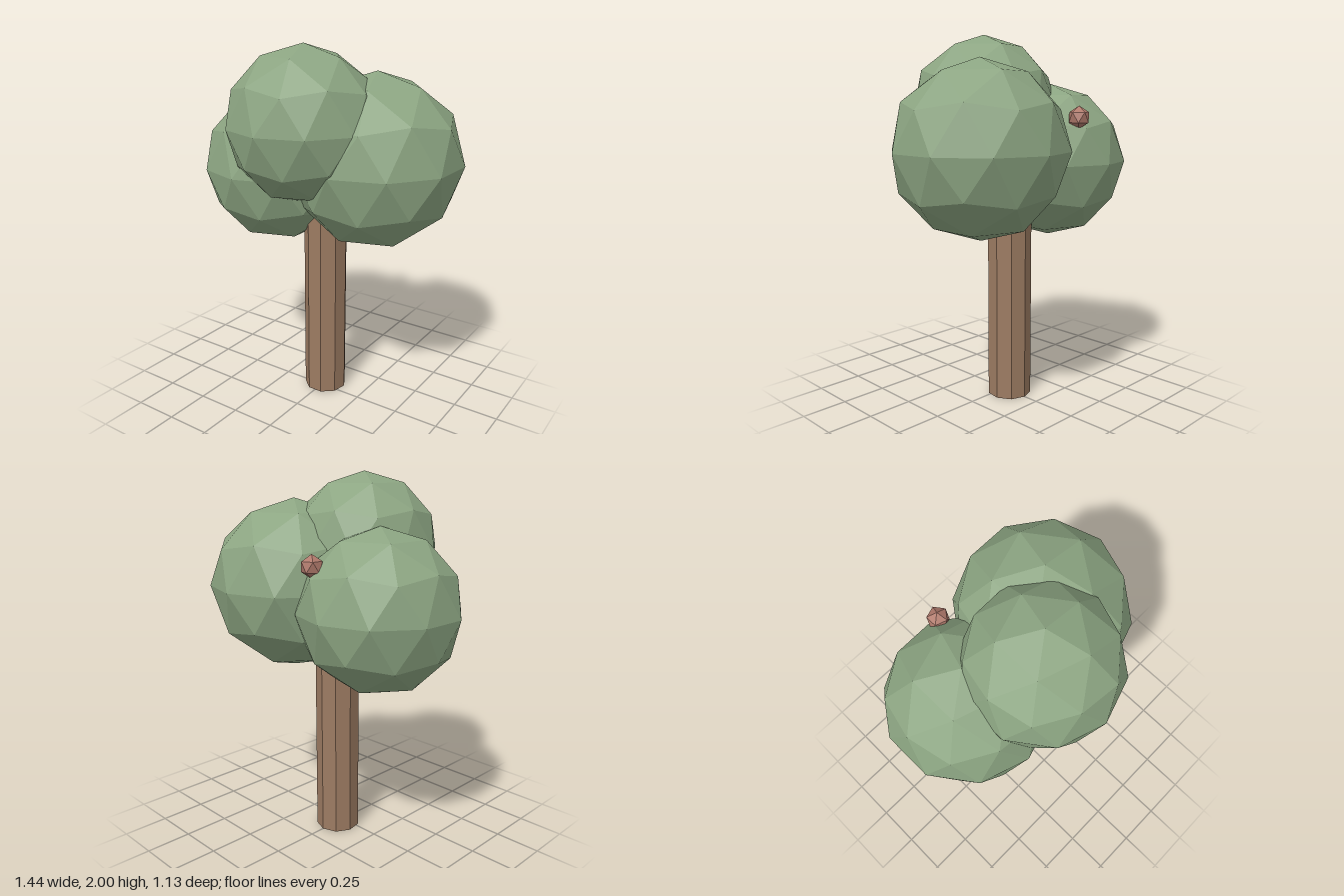
import * as THREE from 'three';

// Faceted ball with one vertex of the icosahedron pointing straight up
function facetedBall(name, radius, detail, position, material) {
  const geometry = new THREE.IcosahedronGeometry(radius, detail);
  geometry.rotateZ(-Math.atan(2 / (1 + Math.sqrt(5))));
  const mesh = new THREE.Mesh(geometry, material);
  mesh.name = name;
  mesh.position.set(...position);
  return mesh;
}

export function createModel() {
  const model = new THREE.Group();
  model.name = 'tree';
  const paint = (color) => new THREE.MeshStandardMaterial({ color, flatShading: true });
  const leaf = paint(0x8ca582);
  const bark = paint(0x9c7b62);
  const fruitSkin = paint(0xb07a6c);

  // Nine-sided trunk, its top hidden inside the crown
  const trunkHeight = 1.25;
  const trunk = new THREE.Mesh(new THREE.CylinderGeometry(0.121, 0.121, trunkHeight, 9), bark);
  trunk.name = 'trunk';
  trunk.rotation.y = Math.PI;
  trunk.position.set(0, trunkHeight / 2, -0.042);
  model.add(trunk);

  // Three overlapping clumps of foliage
  const clumps = [
    ['leftFoliage', 0.465, [0.273, 1.395, -0.102]],
    ['rightFoliage', 0.43, [-0.311, 1.31, -0.05]],
    ['frontFoliage', 0.405, [-0.003, 1.595, 0.157]],
  ];
  for (const [name, radius, position] of clumps) {
    model.add(facetedBall(name, radius, 1, position, leaf));
  }

  // Small fruit on the back of the crown
  model.add(facetedBall('fruit', 0.06, 0, [-0.169, 1.56, -0.381], fruitSkin));

  return model;
}
